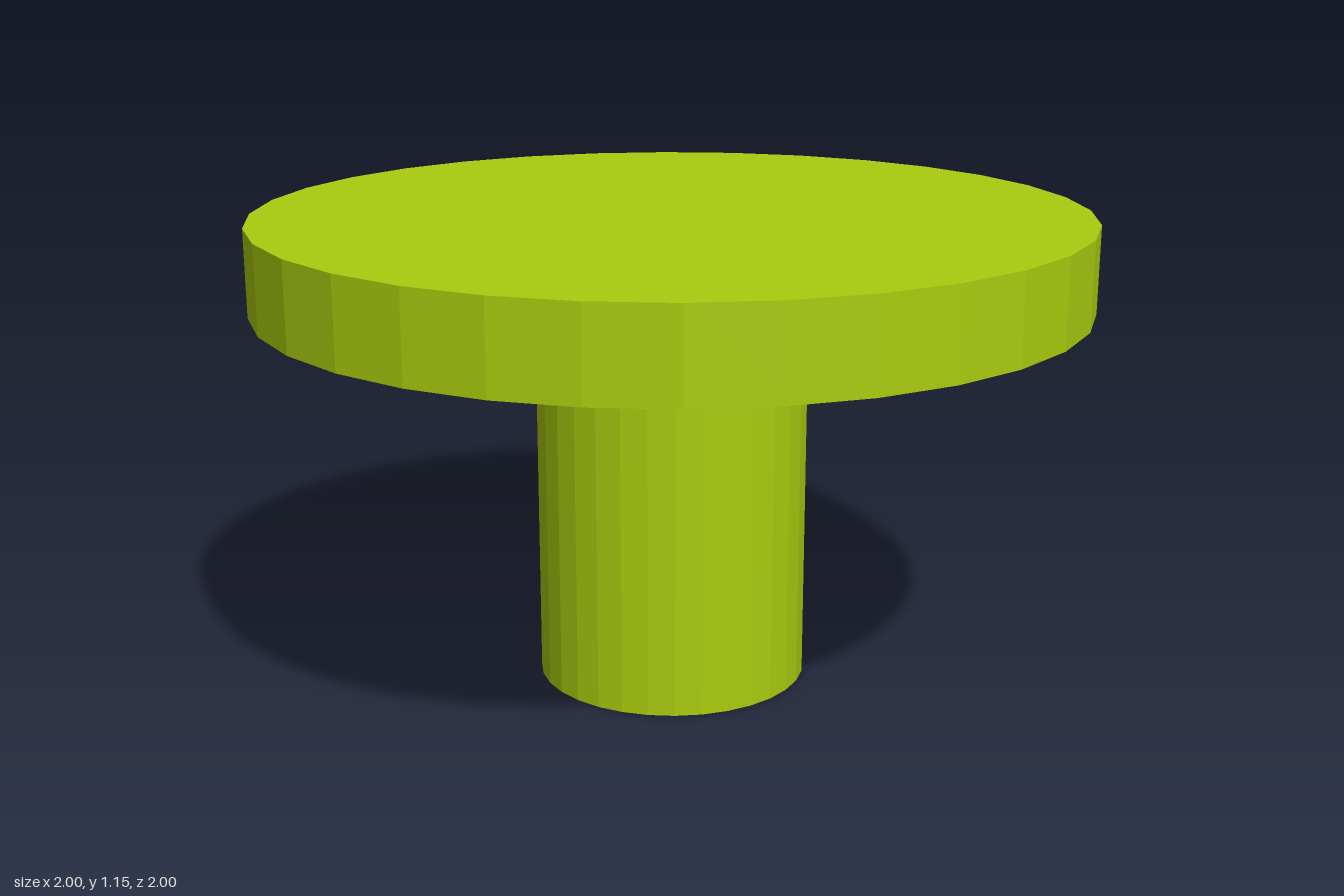
import * as THREE from 'three';

const SIDES = 32;

export function createModel() {
  const group = new THREE.Group();
  const material = new THREE.MeshStandardMaterial({ color: 0xaacc0e, flatShading: true });

  // Faceted solid of revolution, profile listed from bottom to top
  const turn = (name, profile) => {
    const points = profile.map(([r, y]) => new THREE.Vector2(r, y));
    const mesh = new THREE.Mesh(new THREE.LatheGeometry(points, SIDES), material);
    mesh.name = name;
    mesh.rotation.y = -0.019;
    group.add(mesh);
  };

  // Plain round stem with a closed foot
  turn('stem', [[0, 0], [0.33, 0], [0.33, 0.917]]);

  // Flat disc whose underside swells slightly towards the stem
  turn('disc', [[0.33, 0.917], [0.73, 0.943], [1, 0.943], [1, 1.152], [0, 1.152]]);

  return group;
}
